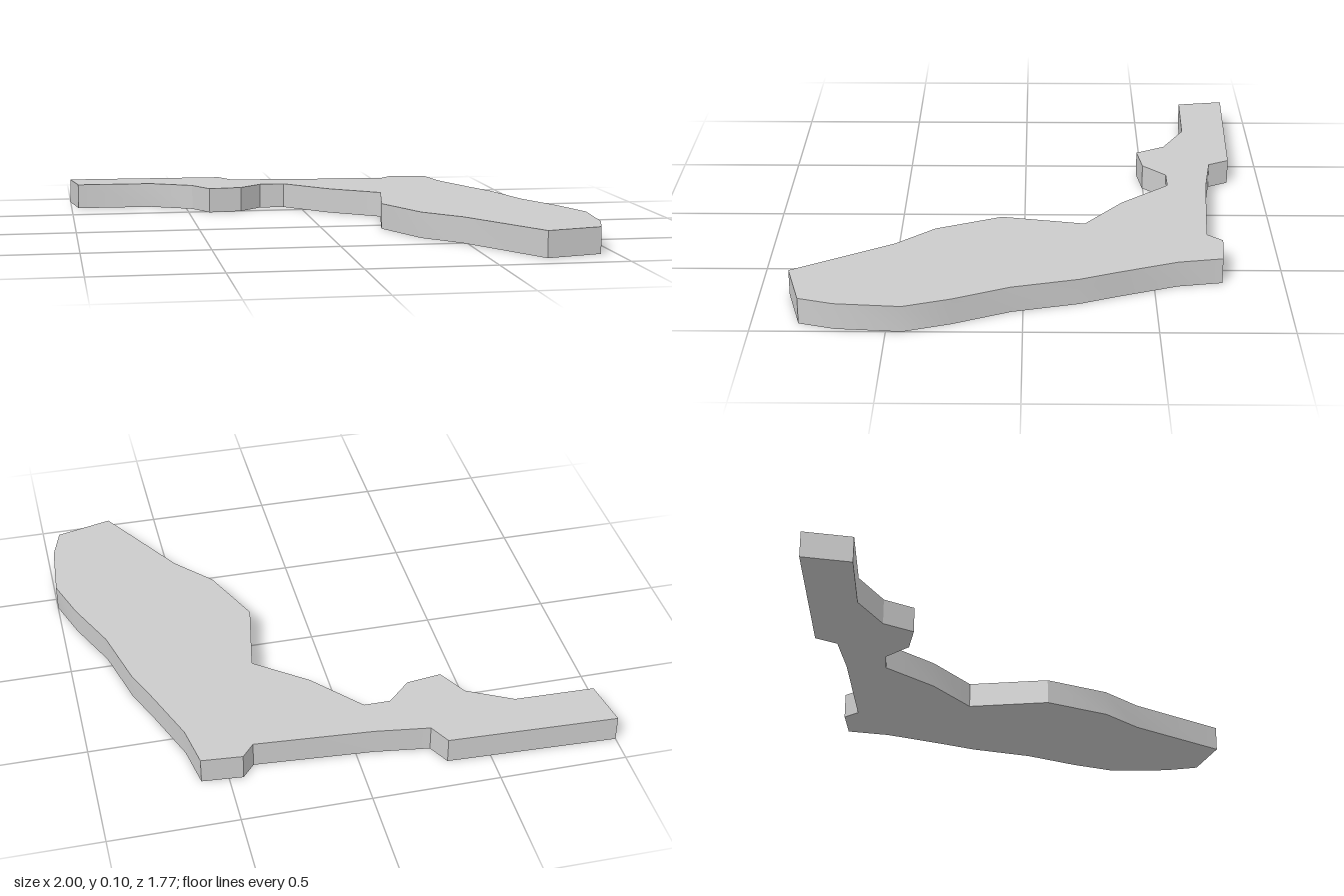
import * as THREE from 'three';
import { toCreasedNormals } from 'three/addons/utils/BufferGeometryUtils.js';

const THICKNESS = 0.104;

// Plan outline as [x, z], starting at the back right corner
const OUTLINE = [
  // back edge
  [-1, -0.89], [-0.33, -0.865], [-0.285, -0.78], [-0.07, -0.75],
  [0.395, -0.717], [0.445, -0.776], [0.605, -0.763],
  // outer side
  [0.635, -0.59], [0.72, -0.36], [0.78, -0.21], [0.845, 0.045], [0.94, 0.26],
  [1, 0.44], [0.98, 0.69], [0.94, 0.825],
  // front tip
  [0.715, 0.885],
  // inner side
  [0.485, 0.5], [0.35, 0.35], [0.24, 0.09], [0.3, -0.24], [0.1, -0.395],
  // underside of the arm
  [-0.07, -0.59], [-0.175, -0.59], [-0.27, -0.497], [-0.41, -0.478],
  [-0.475, -0.597], [-0.65, -0.69], [-0.97, -0.698],
];

export function createModel() {
  const group = new THREE.Group();
  group.name = 'mapPlate';

  // Flat plate, extruded upward from the ground
  const shape = new THREE.Shape(OUTLINE.map(([x, z]) => new THREE.Vector2(x, -z)));
  const extruded = new THREE.ExtrudeGeometry(shape, { depth: THICKNESS, bevelEnabled: false });
  extruded.rotateX(-Math.PI / 2);

  // Shallow bends in the rim are smooth, sharp corners stay crisp
  const geometry = toCreasedNormals(extruded, Math.PI / 6);
  const plate = new THREE.Mesh(geometry, new THREE.MeshStandardMaterial({ color: 0xcccccc }));
  plate.name = 'plate';
  group.add(plate);

  return group;
}
